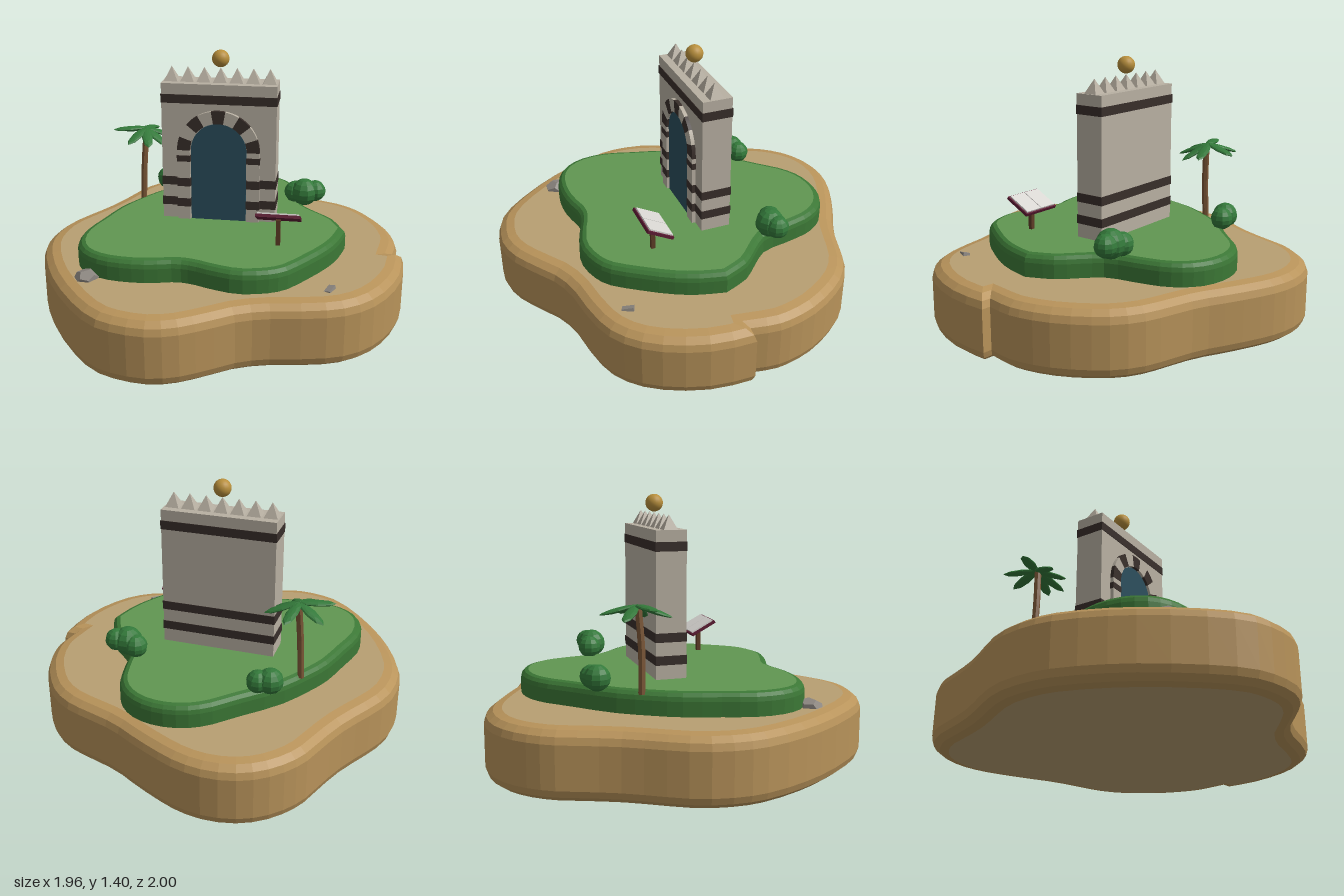
import * as THREE from 'three';

const mat = (color, flatShading = false) => new THREE.MeshStandardMaterial({ color, flatShading });
const STONE = mat(0xb8b0a2), DARK = mat(0x382e2a), DOOR = mat(0x2a4e5c), GOLD = mat(0xb88f3c);
const SAND = mat(0xb8935a), SAND_TOP = mat(0xb89f72), GRASS = mat(0x3c7836), GRASS_TOP = mat(0x619652);
const LEAF = mat(0x33793a, true), BARK = mat(0x7a5636, true), ROCK = mat(0x8c8680, true);
const COVER = mat(0x5e1c34), PAGE = mat(0xd8d6d2), POST = mat(0x5e3c26);

function add(parent, name, geometry, material, x = 0, y = 0, z = 0) {
  const m = new THREE.Mesh(geometry, material);
  m.name = name;
  m.position.set(x, y, z);
  parent.add(m);
  return m;
}
const box = (w, h, d) => new THREE.BoxGeometry(w, h, d);

// Rounded slab from an [x, z] outline, standing between y0 and y1
function slab(parent, name, outline, y0, y1, inset, rise, materials) {
  const curve = new THREE.CatmullRomCurve3(outline.map(([x, z]) => new THREE.Vector3(x, -z, 0)));
  const shape = new THREE.Shape(curve.getPoints(64).map(p => new THREE.Vector2(p.x, p.y)));
  const geo = new THREE.ExtrudeGeometry(shape, {
    depth: y1 - y0 - 2 * rise, bevelEnabled: true, bevelSegments: 3,
    bevelSize: inset, bevelThickness: rise, bevelOffset: -inset,
  });
  geo.rotateX(-Math.PI / 2);
  add(parent, name, geo, materials, 0, y0 + rise, 0);
}

const SAND_OUTLINE = [
  [0.98, 0.015], [0.97, 0.21], [0.91, 0.4], [0.82, 0.55], [0.705, 0.65], [0.56, 0.705], [0.32, 0.745],
  [0.19, 0.79], [0.04, 0.89], [-0.08, 0.96], [-0.21, 0.995], [-0.36, 0.98], [-0.49, 0.93], [-0.63, 0.8],
  [-0.79, 0.59], [-0.89, 0.41], [-0.965, 0.21], [-0.98, 0.07], [-0.955, -0.1], [-0.88, -0.255],
  [-0.79, -0.41], [-0.72, -0.57], [-0.66, -0.73], [-0.595, -0.83], [-0.5, -0.92], [-0.38, -0.98],
  [-0.235, -1], [-0.1, -0.98], [0.03, -0.93], [0.19, -0.85], [0.32, -0.78], [0.48, -0.725],
  [0.61, -0.68], [0.73, -0.6], [0.82, -0.49], [0.9, -0.345], [0.94, -0.21], [0.95, -0.11], [0.93, 0.012],
];
const GRASS_OUTLINE = [
  [0.665, 0.035], [0.63, 0.175], [0.58, 0.29], [0.485, 0.44], [0.385, 0.57], [0.295, 0.62], [0.16, 0.645],
  [0.03, 0.615], [-0.08, 0.575], [-0.155, 0.565], [-0.29, 0.595], [-0.42, 0.6], [-0.55, 0.575],
  [-0.65, 0.51], [-0.71, 0.4], [-0.72, 0.25], [-0.675, 0.08], [-0.62, -0.105], [-0.55, -0.24],
  [-0.445, -0.4], [-0.26, -0.585], [-0.155, -0.69], [-0.05, -0.75], [0.08, -0.77], [0.2, -0.745],
  [0.295, -0.68], [0.355, -0.585], [0.39, -0.45], [0.425, -0.29], [0.505, -0.2], [0.6, -0.105], [0.65, 0],
];

function buildGate() {
  const g = new THREE.Group();
  g.name = 'gate';
  g.position.set(-0.027, 0, -0.065);
  const W = 0.614, D = 0.16, ground = 0.47, springY = 0.875, rIn = 0.153, rOut = 0.222;
  add(g, 'wall', box(W, 1.235 - ground, D), STONE, 0, (1.235 + ground) / 2, 0);
  for (const y of [0.577, 0.694, 1.153]) add(g, 'wallBand', box(W + 0.006, 0.047, D + 0.006), DARK, 0, y, 0);

  // Pyramid battlements and the ball finial
  for (let i = -3; i <= 3; i++) {
    const cone = new THREE.ConeGeometry(0.052, 0.075, 4, 1).toNonIndexed();
    cone.computeVertexNormals();
    add(g, 'battlement', cone, STONE, i * 0.0875, 1.2725, 0).rotation.y = Math.PI / 4;
  }
  add(g, 'finial', new THREE.SphereGeometry(0.046, 20, 14), GOLD, 0, 1.358, 0);

  // Arched door panel
  const door = new THREE.Shape();
  door.moveTo(-0.149, ground);
  door.lineTo(0.149, ground);
  door.lineTo(0.149, springY);
  door.absarc(0, springY, 0.149, 0, Math.PI, false);
  add(g, 'door', new THREE.ExtrudeGeometry(door, { depth: 0.02, bevelEnabled: false, curveSegments: 20 }), DOOR, 0, 0, 0.068);

  // Alternating arch stones
  const step = Math.PI / 9;
  for (let i = 0; i < 9; i++) {
    const s = new THREE.Shape();
    s.absarc(0, 0, rOut, i * step, (i + 1) * step, false);
    s.absarc(0, 0, rIn, (i + 1) * step, i * step, true);
    const geo = new THREE.ExtrudeGeometry(s, { depth: 0.03, bevelEnabled: false, curveSegments: 4 });
    add(g, 'archStone', geo, i % 2 ? STONE : DARK, 0, springY, 0.07);
  }
  // Striped jambs
  for (const side of [-1, 1]) {
    const x = side * (rIn + rOut) / 2, w = rOut - rIn;
    add(g, 'jamb', box(w, springY - ground, 0.03), STONE, x, (springY + ground) / 2, 0.085);
    for (const [y, h] of [[0.577, 0.047], [0.694, 0.047], [0.829, 0.034]])
      add(g, 'jambBand', box(w + 0.004, h, 0.033), DARK, x, y, 0.0855);
  }
  return g;
}

function buildPalm() {
  const g = new THREE.Group();
  g.name = 'palm';
  const trunk = new THREE.CatmullRomCurve3([
    new THREE.Vector3(-0.515, 0.46, -0.27), new THREE.Vector3(-0.505, 0.67, -0.267), new THREE.Vector3(-0.49, 0.89, -0.28)]);
  add(g, 'trunk', new THREE.TubeGeometry(trunk, 6, 0.018, 7), BARK);
  // Lens-shaped fronds: [heading, droop] in degrees
  const fronds = [[-80, 14], [-14, 20], [30, 27], [72, 22], [112, 18], [163, 2], [214, 18]];
  for (const [heading, droop] of fronds) {
    const geo = new THREE.SphereGeometry(1, 8, 6);
    geo.scale(0.095, 0.012, 0.031);
    geo.translate(0.088, 0, 0);
    const frond = add(g, 'frond', geo, LEAF, -0.495, 0.893, -0.29);
    frond.rotation.set(0, -heading * Math.PI / 180, -droop * Math.PI / 180);
  }
  return g;
}

function buildBook() {
  const g = new THREE.Group();
  g.name = 'bookStand';
  g.position.set(0.325, 0, 0.3);
  add(g, 'post', box(0.022, 0.15, 0.022), POST, 0, 0.545, 0.005);
  const book = new THREE.Group();
  book.name = 'openBook';
  book.position.y = 0.628;
  book.rotation.x = -0.49;
  g.add(book);
  add(book, 'cover', box(0.226, 0.016, 0.155), COVER);
  for (const side of [-1, 1]) add(book, 'page', box(0.102, 0.01, 0.138), PAGE, side * 0.053, 0.011, 0);
  return g;
}

export function createModel() {
  const model = new THREE.Group();
  model.name = 'islandGate';
  slab(model, 'sandBase', SAND_OUTLINE, 0, 0.36, 0.09, 0.07, [SAND_TOP, SAND]);
  slab(model, 'grassMound', GRASS_OUTLINE, 0.3, 0.48, 0.04, 0.045, [GRASS_TOP, GRASS]);
  model.add(buildGate(), buildPalm(), buildBook());

  // Bushes: [x, y, z, radius]
  for (const [x, y, z, r] of [
    [-0.405, 0.53, -0.465, 0.067], [-0.345, 0.525, -0.48, 0.06], [-0.375, 0.53, -0.46, 0.05],
    [0.365, 0.53, -0.34, 0.062], [0.42, 0.54, -0.315, 0.077], [0.48, 0.545, -0.33, 0.06]])
    add(model, 'bush', new THREE.SphereGeometry(r, 10, 8), LEAF, x, y, z);

  // Rocks
  const big = add(model, 'rock', new THREE.DodecahedronGeometry(0.065), ROCK, -0.615, 0.36, 0.58);
  big.scale.set(1, 0.65, 1);
  big.rotation.set(0.1, 0.5, 0.1);
  const small = add(model, 'pebble', box(0.035, 0.03, 0.06), ROCK, 0.605, 0.355, 0.535);
  small.rotation.set(0.2, -0.4, 0.3);
  return model;
}
